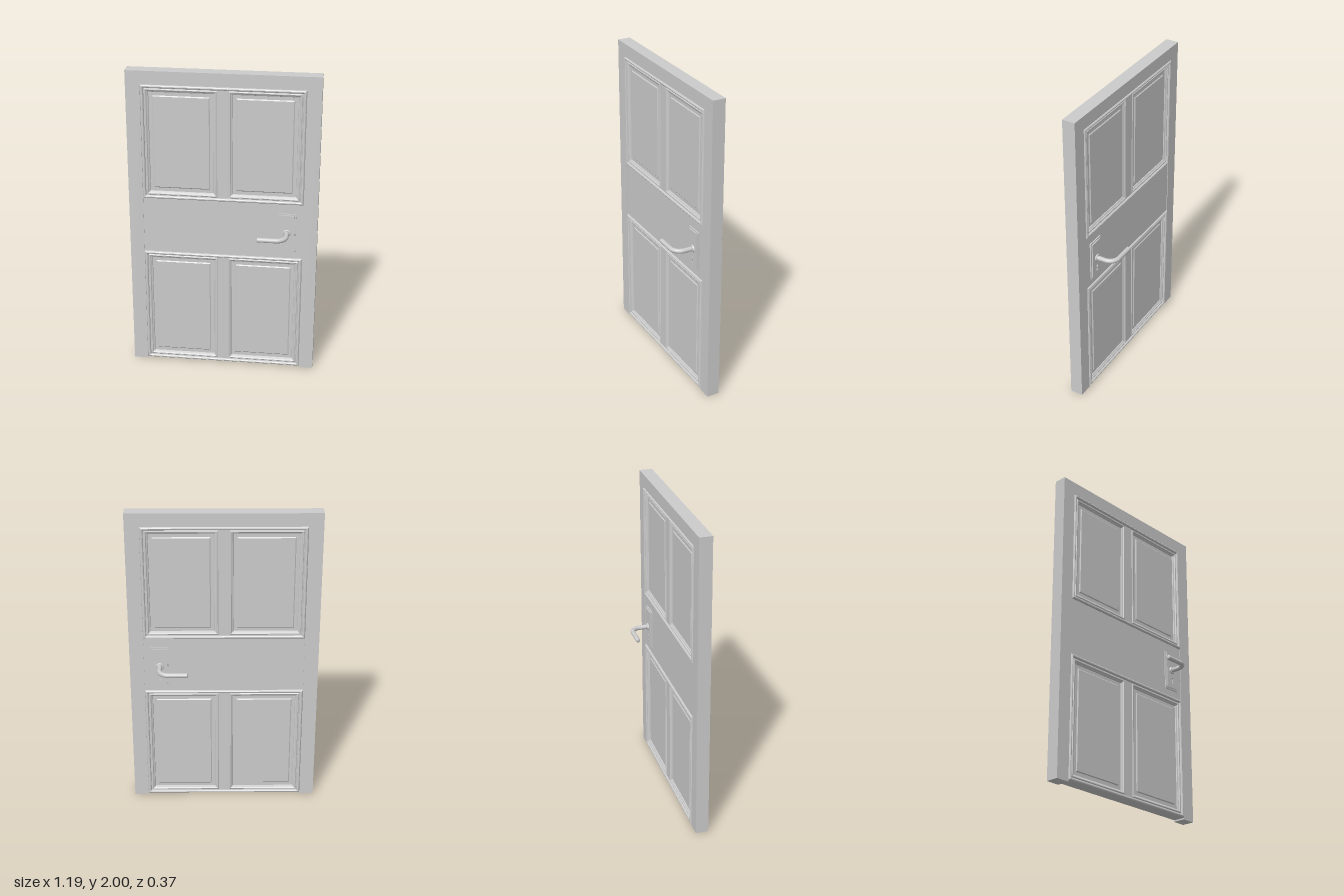
import * as THREE from 'three';

const grey = new THREE.MeshStandardMaterial({ color: 0xcccccc });

function add(parent, name, geometry, x = 0, y = 0, z = 0) {
  const mesh = new THREE.Mesh(geometry, grey);
  mesh.name = name;
  mesh.position.set(x, y, z);
  parent.add(mesh);
  return mesh;
}

// Box given by its limits, symmetric in z
function slab(parent, name, x0, x1, y0, y1, halfDepth) {
  add(parent, name, new THREE.BoxGeometry(x1 - x0, y1 - y0, 2 * halfDepth), (x0 + x1) / 2, (y0 + y1) / 2);
}

// Mitred moulding: nested rectangles following a profile of [inset, z]; optionally closed by a flat field
function moulding(x0, x1, y0, y1, profile, filled) {
  const loops = profile.map(([i, z]) => [
    [x0 + i, y0 + i, z], [x1 - i, y0 + i, z], [x1 - i, y1 - i, z], [x0 + i, y1 - i, z],
  ]);
  const pos = [];
  const quad = (a, b, c, d) => pos.push(...a, ...b, ...c, ...a, ...c, ...d);
  for (let k = 0; k < loops.length - 1; k++) {
    for (let s = 0; s < 4; s++) {
      const t = (s + 1) % 4;
      quad(loops[k][s], loops[k][t], loops[k + 1][t], loops[k + 1][s]);
    }
  }
  if (filled) quad(...loops[loops.length - 1]);
  const g = new THREE.BufferGeometry();
  g.setAttribute('position', new THREE.Float32BufferAttribute(pos, 3));
  g.computeVertexNormals();
  return g;
}

const rimProfile = [[0, 0], [0, 0.037], [0.003, 0.044], [0.008, 0.048], [0.014, 0.048], [0.019, 0.044], [0.021, 0.037], [0.025, 0.037]];
const panelProfile = [[0, 0.037], [0.004, 0.041], [0.009, 0.041], [0.014, 0.035], [0.022, 0.031], [0.024, 0.026], [0.046, 0.026], [0.052, 0.031]];

// Handle set; the lever points along dir
function createHandle(dir) {
  const g = new THREE.Group();
  g.name = 'handleSet';
  add(g, 'backPlate', new THREE.BoxGeometry(0.112, 0.262, 0.01), 0, -0.003, 0.040);

  // Plate face with a keyhole cut through it
  const face = new THREE.Shape();
  face.moveTo(-0.047, -0.125).lineTo(0.047, -0.125).lineTo(0.047, 0.119).lineTo(-0.047, 0.119).closePath();
  const key = new THREE.Path();
  key.moveTo(-0.008, -0.095).lineTo(0.008, -0.095).lineTo(0.005, -0.070);
  key.absarc(0, -0.062, 0.0095, -1, Math.PI + 1, false);
  key.closePath();
  face.holes.push(key);
  add(g, 'plateFace', new THREE.ExtrudeGeometry(face, { depth: 0.007, bevelEnabled: false, curveSegments: 10 }), 0, 0, 0.045);

  const rosette = new THREE.CylinderGeometry(0.02, 0.025, 0.008, 32);
  rosette.rotateX(Math.PI / 2);
  add(g, 'rosette', rosette, 0, 0, 0.056);

  // Bent round lever
  const v = (x, z) => new THREE.Vector3(dir * x, 0, z);
  const path = new THREE.CurvePath();
  path.add(new THREE.LineCurve3(v(0, 0.045), v(0, 0.11)));
  path.add(new THREE.CubicBezierCurve3(v(0, 0.11), v(0, 0.143), v(0.027, 0.17), v(0.06, 0.17)));
  path.add(new THREE.LineCurve3(v(0.06, 0.17), v(0.174, 0.17)));
  add(g, 'lever', new THREE.TubeGeometry(path, 64, 0.015, 20), 0, 0, 0);
  const tip = new THREE.SphereGeometry(0.015, 20, 14);
  tip.scale(0.4, 1, 1);
  add(g, 'leverTip', tip, dir * 0.174, 0, 0.17);
  return g;
}

export function createModel() {
  const door = new THREE.Group();
  door.name = 'door';

  // Surrounding frame
  slab(door, 'leftJamb', 0.505, 0.595, 0, 2, 0.041);
  slab(door, 'rightJamb', -0.595, -0.505, 0, 2, 0.041);
  slab(door, 'header', -0.505, 0.505, 1.915, 2, 0.041);

  // Leaf core and middle rail
  slab(door, 'leafCore', -0.505, 0.505, 0.011, 1.915, 0.018);
  slab(door, 'lockRail', -0.505, 0.505, 0.80, 1.17, 0.037);

  const sections = [['upper', 1.17, 1.915], ['lower', 0.01, 0.80]];
  for (const [label, y0, y1] of sections) {
    slab(door, label + 'Mullion', -0.035, 0.035, y0 + 0.025, y1 - 0.025, 0.037);
  }

  // Both faces carry the same mouldings, panels and handle
  for (const side of [1, -1]) {
    const face = new THREE.Group();
    face.name = side > 0 ? 'frontFace' : 'backFace';
    if (side < 0) face.rotation.y = Math.PI;
    for (const [label, y0, y1] of sections) {
      add(face, label + 'Rim', moulding(-0.505, 0.505, y0, y1, rimProfile, false));
      for (const x0 of [-0.48, 0.035]) {
        add(face, label + 'Panel', moulding(x0, x0 + 0.445, y0 + 0.025, y1 - 0.025, panelProfile, true));
      }
    }
    const handle = createHandle(-side);
    handle.position.set(side * 0.405, 0.98, 0);
    face.add(handle);
    door.add(face);
  }
  return door;
}
